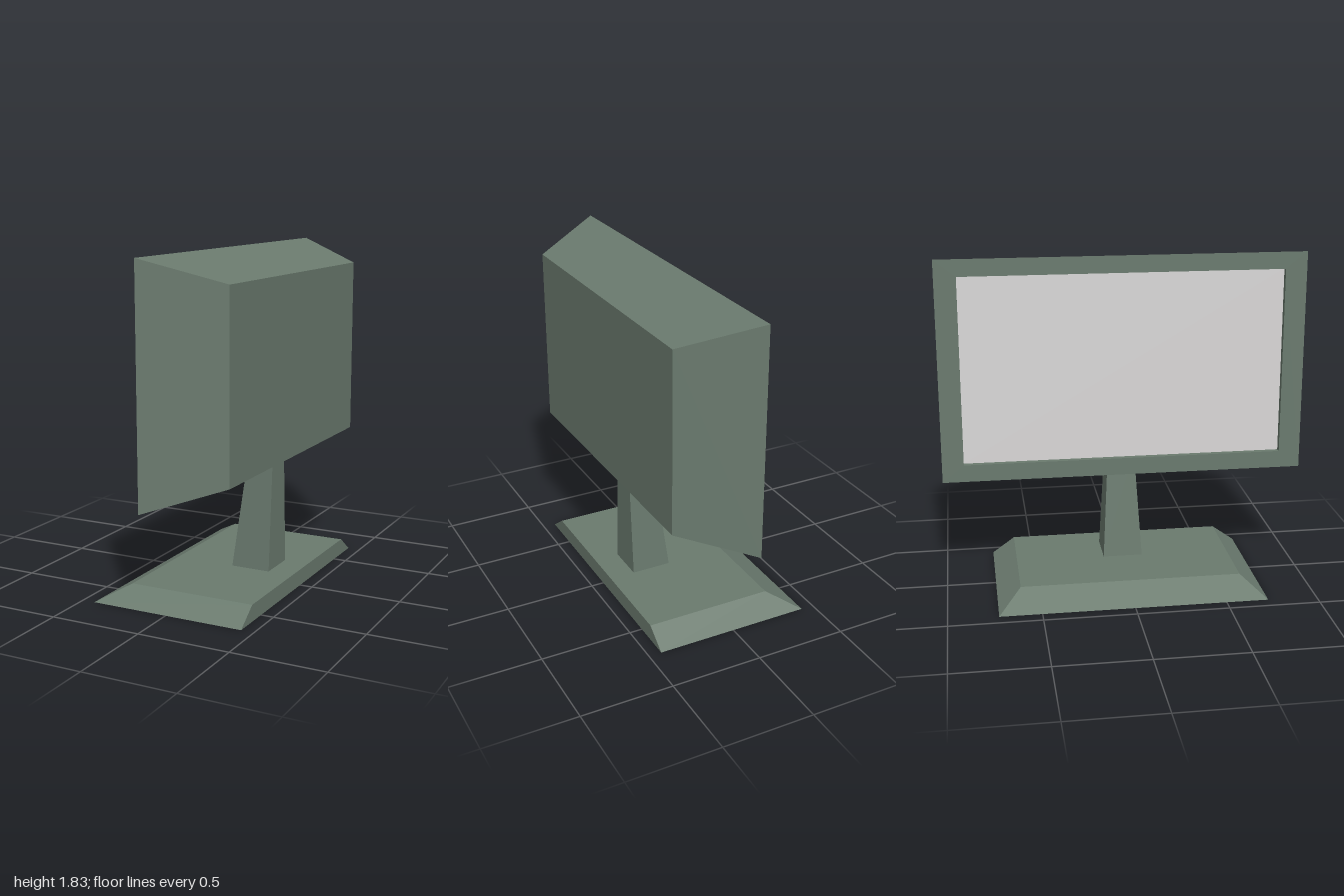
import * as THREE from 'three';

// Rectangle across x, counter-clockwise seen from -x
const rectX = (x, y0, y1, z) => [[x, y0, -z], [x, y0, z], [x, y1, z], [x, y1, -z]];

// Rectangle across y, counter-clockwise seen from above
const rectY = (y, x0, x1, z) => [[x0, y, z], [x1, y, z], [x1, y, -z], [x0, y, -z]];

// Skins a run of four-cornered rings with flat faces and closes the ends
function loft(rings, endCap = true) {
  const pos = [];
  const quad = (a, b, c, d) => pos.push(...a, ...b, ...c, ...a, ...c, ...d);
  for (let i = 0; i < rings.length - 1; i++) {
    const a = rings[i], b = rings[i + 1];
    for (let j = 0; j < 4; j++) {
      const k = (j + 1) % 4;
      quad(a[j], a[k], b[k], b[j]);
    }
  }
  quad(...[...rings[0]].reverse());
  if (endCap) quad(...rings[rings.length - 1]);
  const geo = new THREE.BufferGeometry();
  geo.setAttribute('position', new THREE.Float32BufferAttribute(pos, 3));
  geo.computeVertexNormals();
  return geo;
}

export function createModel() {
  const model = new THREE.Group();
  model.name = 'monitor';
  const casing = new THREE.MeshStandardMaterial({ color: 0x6a7a6e });
  casing.name = 'grey green casing';
  const glass = new THREE.MeshStandardMaterial({ color: 0xdad8d8 });
  glass.name = 'pale grey screen';

  const add = (name, geo, mat) => {
    const mesh = new THREE.Mesh(geo, mat);
    mesh.name = name;
    model.add(mesh);
    return mesh;
  };

  // Base plate, bevelled on three sides and upright at the back
  add('base', loft([rectY(0, -0.43, 0.43, 0.73), rectY(0.09, -0.27, 0.43, 0.605)]), casing);

  // Tapered stand, its top sunk into the housing
  add('stand', loft([rectY(0.09, 0.07, 0.29, 0.11), rectY(0.69, 0.145, 0.293, 0.075)]), casing);

  // Housing tapering to the back, with a rim and a shallow recess facing -x
  add('housing', loft([
    rectX(0.4, 0.73, 1.705, 0.795),
    rectX(0.013, 0.605, 1.828, 1),
    rectX(0.013, 0.7, 1.735, 0.882),
    rectX(0.045, 0.7, 1.735, 0.882),
  ], false), casing);

  // Screen at the bottom of the recess
  const screen = add('screen', new THREE.PlaneGeometry(1.764, 1.035), glass);
  screen.rotation.y = -Math.PI / 2;
  screen.position.set(0.045, 1.2175, 0);

  return model;
}
